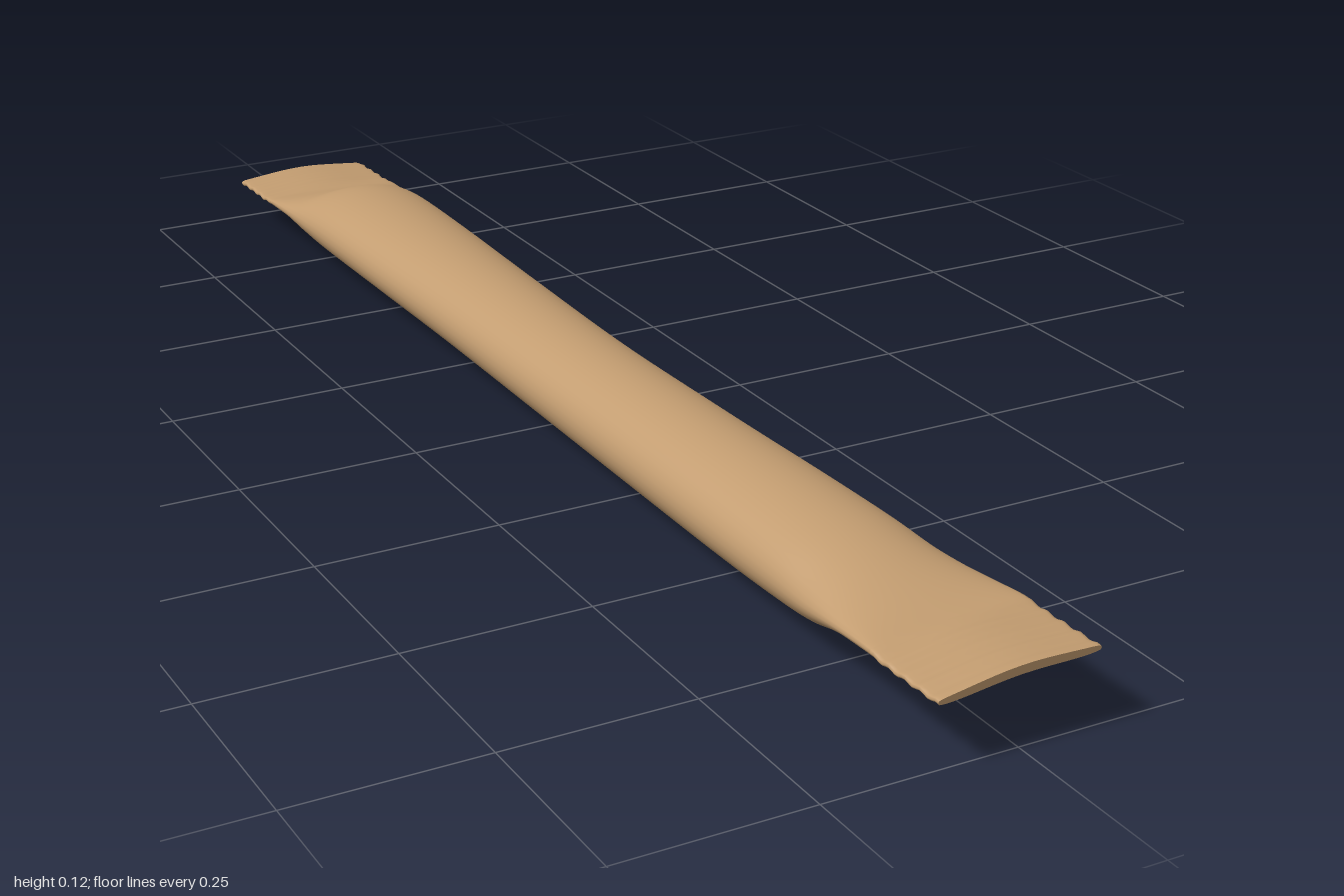
import * as THREE from 'three';

// Stations along the stick: z, top y, bottom y, left-hand x, right-hand x, tilt, roundness exponent
const STATIONS = [
  [-1.00, 0.068, 0.056, -0.105, 0.105, 0.000, 0.45],
  [-0.93, 0.070, 0.059, -0.106, 0.105, 0.000, 0.45],
  [-0.87, 0.072, 0.058, -0.106, 0.105, 0.000, 0.50],
  [-0.81, 0.089, 0.044, -0.105, 0.102, 0.000, 0.90],
  [-0.75, 0.111, 0.021, -0.103, 0.100, 0.000, 1.05],
  [-0.67, 0.119, 0.014, -0.101, 0.098, 0.000, 1.00],
  [-0.50, 0.120, 0.009, -0.096, 0.095, 0.000, 1.00],
  [-0.28, 0.120, 0.005, -0.090, 0.088, 0.000, 1.00],
  [0.00, 0.121, 0.003, -0.090, 0.081, 0.000, 1.00],
  [0.28, 0.124, 0.001, -0.092, 0.086, 0.000, 1.00],
  [0.50, 0.125, 0.004, -0.095, 0.092, 0.002, 1.00],
  [0.64, 0.123, 0.012, -0.098, 0.095, 0.003, 1.00],
  [0.72, 0.116, 0.024, -0.100, 0.097, 0.004, 1.05],
  [0.80, 0.104, 0.058, -0.104, 0.100, 0.006, 0.95],
  [0.87, 0.096, 0.080, -0.108, 0.102, 0.007, 0.50],
  [0.93, 0.095, 0.084, -0.108, 0.103, 0.007, 0.45],
  [1.00, 0.097, 0.086, -0.108, 0.103, 0.007, 0.45],
];
const SIDES = 40;
const STEPS = 10; // rings per station gap

const curveOf = (a, b, c) => new THREE.CatmullRomCurve3(
  STATIONS.map(s => new THREE.Vector3(s[a], s[b], s[c])), false, 'catmullrom', 0.5);
const heights = curveOf(0, 1, 2);
const widths = curveOf(0, 3, 4);
const shapes = curveOf(0, 5, 6);

// One closed cross-section; scale 0 collapses it to its centre for an end cap
function ring(t, scale = 1) {
  const { x: z, y: top, z: bottom } = heights.getPoint(t);
  const { y: left, z: right } = widths.getPoint(t);
  const { y: tilt, z: power } = shapes.getPoint(t);
  const seal = THREE.MathUtils.smoothstep(Math.abs(z), 0.86, 0.9);
  const crimp = 0.0015 * seal * Math.sin(z * 210);
  const points = [];
  for (let j = 0; j < SIDES; j++) {
    const a = (j / SIDES) * Math.PI * 2;
    const c = Math.cos(a) * scale, s = Math.sin(a);
    const y = (top + bottom) / 2 + tilt * c + crimp
      + scale * (top - bottom) / 2 * Math.sign(s) * Math.pow(Math.abs(s), power)
      + seal * 0.003 * Math.cos(c * 3);
    points.push((left + right) / 2 + (right - left) / 2 * c, y, z);
  }
  return points;
}

// Skin between two stations, with optional flat ends
function loft(from, to, capStart, capEnd) {
  const last = STATIONS.length - 1;
  const rings = [];
  if (capStart) rings.push(ring(from / last, 0), ring(from / last));
  const count = (to - from) * STEPS;
  for (let i = 0; i <= count; i++) rings.push(ring((from + i / STEPS) / last));
  if (capEnd) rings.push(ring(to / last), ring(to / last, 0));

  const index = [];
  for (let i = 0; i < rings.length - 1; i++) {
    // leave the doubled end rings unjoined so the cut edge stays sharp
    if ((capStart && i === 1) || (capEnd && i === rings.length - 3)) continue;
    for (let j = 0; j < SIDES; j++) {
      const k = (j + 1) % SIDES;
      const a = i * SIDES + j, b = i * SIDES + k;
      index.push(a, b, a + SIDES, b, b + SIDES, a + SIDES);
    }
  }
  const geometry = new THREE.BufferGeometry();
  geometry.setAttribute('position', new THREE.Float32BufferAttribute(rings.flat(), 3));
  geometry.setIndex(index);
  geometry.computeVertexNormals();
  return geometry;
}

export function createModel() {
  const group = new THREE.Group();
  group.name = 'stickSachet';
  const paper = new THREE.MeshStandardMaterial({ color: 0xc29c70 });
  const add = (name, geometry) => {
    const mesh = new THREE.Mesh(geometry, paper);
    mesh.name = name;
    group.add(mesh);
  };
  add('backSeal', loft(0, 2, true, false)); // flat crimped end
  add('filledBody', loft(2, 14, false, false)); // puffed tube
  add('frontSeal', loft(14, 16, false, true)); // flat crimped end, slightly twisted
  return group;
}
